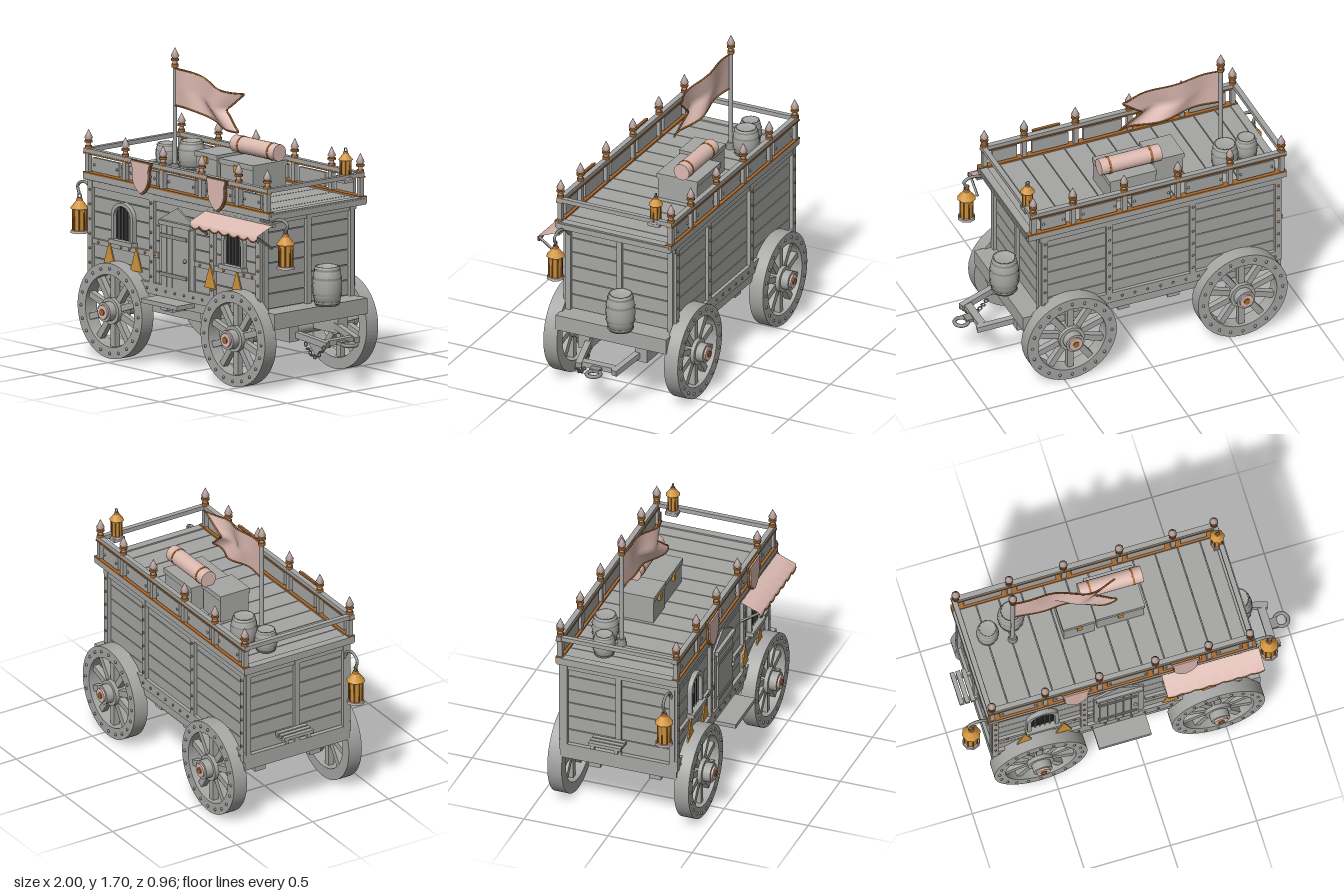
import * as THREE from 'three';
import { mergeGeometries } from 'three/addons/utils/BufferGeometryUtils.js';

const mat = (name, color, opt = {}) => Object.assign(new THREE.MeshStandardMaterial({ color, ...opt }), { name });

export function createModel() {
  const wood = mat('weathered wood', 0xa6a6a4);
  const iron = mat('grey iron', 0x8f8f8d);
  const dark = mat('window dark', 0x1e1e1e);
  const cloth = mat('pink cloth', 0xdcbab1, { side: THREE.DoubleSide });
  const gold = mat('amber', 0xd0953c);
  const bronze = mat('bronze', 0xa8682c);
  const tip = mat('pale metal', 0xb9a5a0);
  const root = new THREE.Group();
  root.name = 'wagon';
  const V = (x, y, z) => new THREE.Vector3(x, y, z);

  // Helpers
  const add = (name, geo, m, x = 0, y = 0, z = 0, parent = root) => {
    const mesh = new THREE.Mesh(geo, m);
    mesh.name = name;
    mesh.position.set(x, y, z);
    parent.add(mesh);
    return mesh;
  };
  const box = (name, m, x0, x1, y0, y1, z0, z1, parent = root) =>
    add(name, new THREE.BoxGeometry(x1 - x0, y1 - y0, z1 - z0), m, (x0 + x1) / 2, (y0 + y1) / 2, (z0 + z1) / 2, parent);
  const cyl = (name, m, r0, r1, h, x, y, z, parent = root, n = 20) =>
    add(name, new THREE.CylinderGeometry(r1, r0, h, n), m, x, y, z, parent);
  const bar = (name, m, a, b, w, h = w) => {
    const mesh = add(name, new THREE.BoxGeometry(a.distanceTo(b), h, w), m);
    mesh.position.copy(a).add(b).multiplyScalar(0.5);
    mesh.quaternion.setFromUnitVectors(V(1, 0, 0), b.clone().sub(a).normalize());
  };
  const tube = (name, m, pts, r, closed = false, tension = 0.5) =>
    add(name, new THREE.TubeGeometry(new THREE.CatmullRomCurve3(pts, closed, 'catmullrom', tension), pts.length * 4, r, 6, closed), m);
  const group = (name, x, y, z, parent = root) => {
    const g = new THREE.Group();
    g.name = name;
    g.position.set(x, y, z);
    parent.add(g);
    return g;
  };
  const rivets = (name, m, pts, r = 0.008, parent = root) => add(name, mergeGeometries(pts.map(([x, y, z]) =>
    new THREE.SphereGeometry(r, 6, 4).translate(x, y, z))), m, 0, 0, 0, parent);

  // Wheels
  const makeWheel = (x, side) => {
    const g = group('wheel', x, 0.27, 0.335 * side);
    if (side < 0) g.rotation.y = Math.PI;
    const ring = new THREE.Shape().absarc(0, 0, 0.27, 0, Math.PI * 2);
    ring.holes.push(new THREE.Path().absarc(0, 0, 0.205, 0, Math.PI * 2, true));
    add('wheelRim', new THREE.ExtrudeGeometry(ring, { depth: 0.085, bevelEnabled: false, curveSegments: 40 }), wood, 0, 0, 0, g);
    for (let i = 0; i < 10; i++) {
      const a = (i + 0.5) * Math.PI / 5;
      add('spoke', new THREE.BoxGeometry(0.17, 0.036, 0.036), wood, Math.cos(a) * 0.13, Math.sin(a) * 0.13, 0.045, g).rotation.z = a;
    }
    for (const [r, len, z, m, name] of [[0.075, 0.09, 0.04, wood, 'hub'], [0.055, 0.05, 0.105, wood, 'hubCollar'],
      [0.04, 0.012, 0.135, cloth, 'hubCap'], [0.018, 0.01, 0.142, bronze, 'hubBolt']])
      cyl(name, m, r, r, len, 0, 0, z, g).rotation.x = Math.PI / 2;
    rivets('rimBolts', iron, Array.from({ length: 20 }, (_, i) => {
      const a = i * Math.PI / 10;
      return [Math.cos(a) * 0.24, Math.sin(a) * 0.24, 0.086];
    }), 0.009, g);
  };
  for (const x of [-0.577, 0.455]) {
    makeWheel(x, 1);
    makeWheel(x, -1);
    cyl('axle', wood, 0.038, 0.038, 0.68, x, 0.27, 0).rotation.x = Math.PI / 2;
    box('bolster', wood, x - 0.04, x + 0.04, 0.29, 0.36, -0.27, 0.27);
  }

  // Undercarriage and drawbar
  for (const s of [-1, 1]) {
    box('chassisBeam', wood, -0.74, 0.7, 0.26, 0.35, s * 0.18 - 0.035, s * 0.18 + 0.035);
    bar('drawbarArm', wood, V(0.62, 0.31, s * 0.17), V(0.9, 0.26, s * 0.11), 0.035);
  }
  for (const x of [-0.2, 0.1]) box('crossBeam', wood, x - 0.035, x + 0.035, 0.31, 0.36, -0.32, 0.32);
  box('drawbarCross', wood, 0.84, 0.885, 0.25, 0.28, -0.13, 0.13);
  box('hitchTongue', iron, 0.87, 0.925, 0.25, 0.27, -0.03, 0.03);
  add('hitchRing', new THREE.TorusGeometry(0.039, 0.011, 8, 20), iron, 0.95, 0.255, -0.01).rotation.x = Math.PI / 2;
  for (let i = 0; i < 9; i++) {
    const t = i / 8;
    const link = add('chainLink', new THREE.TorusGeometry(0.012, 0.004, 5, 8), iron, 0.74 + t * 0.15, 0.245 - 0.06 * Math.sin(t * Math.PI), 0.13);
    link.rotation.set(i % 2 ? Math.PI / 2 : 0, 0, t - 0.5);
  }

  // Floor and plank walls
  box('floor', wood, -0.84, 0.72, 0.35, 0.44, -0.345, 0.345);
  box('innerWalls', iron, -0.81, 0.59, 0.44, 0.97, -0.32, 0.32);
  for (let i = 0; i < 6; i++) {
    const y = 0.445 + i * 0.087;
    box('wallPlanks', wood, -0.822, 0.602, y, y + 0.082, -0.333, 0.333);
  }
  const studs = [-0.82, -0.305, 0.2, 0.59];
  for (const s of [-1, 1]) {
    const z0 = s * 0.335, z = s * 0.353;
    for (const x of studs) box('wallPost', wood, x - 0.018, x + 0.018, 0.42, 0.97, z0 - 0.018, z0 + 0.018);
    box('sillRail', wood, -0.84, 0.62, 0.4, 0.465, z0 - 0.018, z0 + 0.018);
    box('topRail', wood, -0.84, 0.62, 0.93, 0.965, z0 - 0.016, z0 + 0.016);
    const pts = [];
    for (const x of studs) for (let j = 0; j < 6; j++) pts.push([x, 0.5 + j * 0.083, z]);
    for (let i = 0; i < 19; i++) pts.push([-0.8 + i * 0.077, 0.432, z]);
    rivets('wallRivets', bronze, pts);
  }
  box('midRail', wood, -0.82, -0.25, 0.61, 0.64, 0.33, 0.35);
  box('midRail', wood, 0.05, 0.6, 0.61, 0.64, 0.33, 0.35);
  rivets('midRivets', bronze, [-0.75, -0.56, -0.49, -0.36, -0.28, 0.1, 0.3, 0.47, 0.54].map(x => [x, 0.625, 0.351]));
  for (const x of [-0.822, 0.602]) {
    for (const z of [-0.32, 0, 0.32]) box('endPost', wood, x - 0.02, x + 0.02, 0.44, 0.97, z - 0.016, z + 0.016);
    box('endRail', wood, x - 0.015, x + 0.015, 0.925, 0.965, -0.33, 0.33);
  }

  // Arched windows with bars
  const arch = (C, w, y0, y1, top) => {
    const s = new C();
    s.moveTo(-w, y0); s.lineTo(w, y0); s.lineTo(w, y1);
    s.quadraticCurveTo(w, top - 0.01, 0, top);
    s.quadraticCurveTo(-w, top - 0.01, -w, y1);
    s.closePath();
    return s;
  };
  for (const x of [-0.545, 0.38]) {
    const frame = arch(THREE.Shape, 0.092, 0.65, 0.79, 0.88);
    frame.holes.push(arch(THREE.Path, 0.07, 0.665, 0.785, 0.86));
    add('windowFrame', new THREE.ExtrudeGeometry(frame, { depth: 0.03, bevelEnabled: false }), wood, x, 0, 0.33);
    add('windowPane', new THREE.ShapeGeometry(arch(THREE.Shape, 0.075, 0.66, 0.785, 0.865)), dark, x, 0, 0.337);
    for (const d of [-0.042, -0.014, 0.014, 0.042]) box('windowBar', iron, x + d - 0.003, x + d + 0.003, 0.665, 0.845, 0.34, 0.346);
    box('windowSill', wood, x - 0.1, x + 0.1, 0.64, 0.665, 0.33, 0.375);
  }

  // Door with pointed frame, and step
  const gable = new THREE.Shape([[-0.145, 0], [0.145, 0], [0.145, 0.39], [0, 0.47], [-0.145, 0.39]].map(p => new THREE.Vector2(...p)));
  add('doorSurround', new THREE.ExtrudeGeometry(gable, { depth: 0.012, bevelEnabled: false }), wood, -0.1, 0.445, 0.332);
  for (let i = 0; i < 5; i++) box('doorPlank', wood, -0.215 + i * 0.046, -0.172 + i * 0.046, 0.46, 0.81, 0.34, 0.358);
  for (const y of [0.52, 0.74]) box('doorHinge', iron, -0.225, 0.0, y, y + 0.022, 0.355, 0.364);
  box('doorLintel', wood, -0.235, 0.035, 0.81, 0.835, 0.335, 0.365);
  rivets('doorKnob', iron, [[-0.01, 0.63, 0.365]], 0.012);
  box('doorStep', wood, -0.255, 0.05, 0.375, 0.4, 0.3, 0.475);
  box('stepBracket', wood, -0.13, -0.07, 0.35, 0.376, 0.28, 0.44);

  // Rear shelf
  for (let i = 0; i < 3; i++) box('shelfSlat', wood, -0.935 + i * 0.033, -0.91 + i * 0.033, 0.52, 0.54, -0.145, 0.05);
  for (const z of [-0.12, 0.02]) box('shelfBracket', wood, -0.93, -0.82, 0.495, 0.52, z - 0.01, z + 0.01);

  // Amber triangular pennants
  const tri = new THREE.Shape([new THREE.Vector2(-0.048, 0), new THREE.Vector2(0.048, 0), new THREE.Vector2(0, 0.135)]);
  for (const x of [-0.65, -0.425, 0.195, 0.42])
    add('pennant', new THREE.ExtrudeGeometry(tri, { depth: 0.008, bevelEnabled: false }), gold, x, 0.51, 0.353);

  // Roof deck, railing and finials
  box('roofBase', iron, -0.85, 0.69, 0.965, 0.99, -0.35, 0.35);
  for (let i = 0; i < 12; i++) box('roofPlank', wood, -0.855 + i * 0.13, -0.73 + i * 0.13, 0.985, 1.0, -0.35, 0.35);
  const finial = (x, y, z) => {
    const g = group('finial', x, y, z);
    cyl('finialCollar', bronze, 0.02, 0.02, 0.02, 0, 0.01, 0, g, 10);
    cyl('finialNeck', tip, 0.013, 0.013, 0.02, 0, 0.03, 0, g, 10);
    cyl('finialRing', bronze, 0.023, 0.023, 0.012, 0, 0.044, 0, g, 10);
    add('finialTip', new THREE.LatheGeometry([[0.012, 0.05], [0.024, 0.064], [0.012, 0.09], [0, 0.115]].map(p => new THREE.Vector2(...p)), 10), tip, 0, 0, 0, g);
  };
  const posts = [-0.84, -0.53, -0.215, 0.11, 0.42, 0.66];
  for (const s of [-1, 1]) {
    const z = s * 0.345;
    box('railTop', wood, -0.865, 0.68, 1.12, 1.145, z - 0.015, z + 0.015);
    box('railTrim', bronze, -0.865, 0.68, 1.114, 1.122, z - 0.019, z + 0.019);
    box('deckEdge', wood, -0.865, 0.695, 0.97, 1.005, z - 0.018, z + 0.018);
    box('deckTrim', bronze, -0.865, 0.695, 1.003, 1.012, z - 0.02, z + 0.02);
    posts.forEach((x, i) => {
      box('railPost', wood, x - 0.014, x + 0.014, 1.0, 1.14, z - 0.014, z + 0.014);
      finial(x, 1.14, z);
      if (i === 5) return;
      const x1 = posts[i + 1];
      box('railPanel', wood, x + 0.045, x1 - 0.045, 1.02, 1.1, z - 0.009, z + 0.009);
      rivets('panelRivets', iron, [x + 0.06, x1 - 0.06].map(px => [px, 1.06, z + s * 0.01]));
    });
  }
  for (const x of [-0.85, 0.665]) {
    box('endRailTop', wood, x - 0.014, x + 0.014, 1.12, 1.145, -0.345, 0.345);
    box('endDeckEdge', wood, x - 0.015, x + 0.03, 0.965, 1.008, -0.355, 0.355);
  }

  // Shield banners
  const shield = new THREE.Shape();
  shield.moveTo(-0.085, 0.19); shield.lineTo(0.085, 0.19); shield.lineTo(0.07, 0.14);
  shield.quadraticCurveTo(0.085, 0.04, 0, 0);
  shield.quadraticCurveTo(-0.085, 0.04, -0.07, 0.14);
  for (const x of [-0.36, 0.275]) {
    add('shieldTrim', new THREE.ExtrudeGeometry(shield, { depth: 0.012, bevelEnabled: false }), bronze, x, 0.957, 0.368);
    add('shieldBanner', new THREE.ExtrudeGeometry(shield, { depth: 0.008, bevelEnabled: false }), cloth, x, 0.966, 0.381).scale.set(0.93, 0.93, 1);
  }

  // Barrels
  const barrel = (x, y, z, r, h) => {
    const g = group('barrel', x, y, z);
    const p = [[0, 0], [0.8, 0], [0.94, 0.25], [1, 0.5], [0.94, 0.75], [0.8, 1], [0.7, 1], [0.7, 0.94], [0, 0.94]];
    add('barrelStaves', new THREE.LatheGeometry(p.map(([a, b]) => new THREE.Vector2(a * r, b * h)), 16), wood, 0, 0, 0, g).material = wood;
    for (const [t, k] of [[0.08, 0.86], [0.3, 0.97], [0.7, 0.97], [0.92, 0.86]])
      cyl('barrelHoop', iron, k * r * 1.02, k * r * 1.02, h * 0.07, 0, t * h, 0, g, 16).geometry = new THREE.CylinderGeometry(k * r * 1.03, k * r * 1.03, h * 0.06, 16, 1, true);
  };
  barrel(0.71, 0.44, -0.055, 0.084, 0.22);
  barrel(-0.72, 1, -0.13, 0.064, 0.13);
  barrel(-0.57, 1, -0.18, 0.077, 0.16);

  // Crates and bedroll
  for (const [x0, x1, y, z0, z1] of [[-0.325, -0.135, 1.165, -0.18, 0.015], [-0.13, 0.155, 1.15, -0.25, 0.005]]) {
    box('crate', wood, x0 + 0.006, x1 - 0.006, 1, y - 0.03, z0 + 0.006, z1 - 0.006);
    box('crateLid', wood, x0, x1, y - 0.03, y, z0, z1);
    box('crateLatch', gold, (x0 + x1) / 2 - 0.015, (x0 + x1) / 2 + 0.015, y - 0.06, y - 0.02, z1 - 0.005, z1 + 0.008);
  }
  cyl('bedroll', cloth, 0.048, 0.048, 0.365, 0.003, 1.205, -0.165).rotation.z = Math.PI / 2;
  for (const x of [-0.12, 0.13]) cyl('bedrollStrap', bronze, 0.05, 0.05, 0.012, x, 1.205, -0.165).rotation.z = Math.PI / 2;

  // Lanterns
  const lantern = (x, y, z, k) => {
    const g = group('lantern', x, y, z);
    g.scale.setScalar(k);
    cyl('lanternBase', tip, 0.052, 0.048, 0.014, 0, 0.007, 0, g, 8);
    cyl('lanternGlass', gold, 0.036, 0.041, 0.126, 0, 0.077, 0, g, 8);
    for (let i = 0; i < 8; i++) {
      const a = i * Math.PI / 4;
      box('lanternRib', bronze, Math.sin(a) * 0.039 - 0.003, Math.sin(a) * 0.039 + 0.003, 0.014, 0.14, Math.cos(a) * 0.039 - 0.003, Math.cos(a) * 0.039 + 0.003, g);
    }
    cyl('lanternRoof', gold, 0.054, 0.018, 0.045, 0, 0.16, 0, g, 8);
    cyl('lanternCap', bronze, 0.02, 0.014, 0.018, 0, 0.19, 0, g, 8);
    add('lanternRing', new THREE.TorusGeometry(0.014, 0.004, 6, 12), iron, 0, 0.21, 0, g);
  };
  lantern(-0.95, 0.645, 0.315, 1);
  lantern(0.78, 0.705, 0.315, 1);
  lantern(0.65, 1.12, -0.245, 0.78);
  box('lanternStand', wood, 0.62, 0.68, 1.1, 1.122, -0.28, -0.21);
  tube('lanternArm', iron, [V(-0.83, 0.86, 0.315), V(-0.86, 0.92, 0.315), V(-0.92, 0.94, 0.315), V(-0.965, 0.91, 0.315), V(-0.95, 0.86, 0.315)], 0.009);
  tube('lanternArm', iron, [V(0.61, 0.9, 0.315), V(0.66, 0.95, 0.315), V(0.74, 0.975, 0.315), V(0.795, 0.955, 0.315), V(0.78, 0.915, 0.315)], 0.009);

  // Awning with scalloped edge
  const surface = (f, nu, nv) => {
    const geo = new THREE.PlaneGeometry(1, 1, nu, nv), p = geo.attributes.position;
    for (let i = 0; i < p.count; i++) p.setXYZ(i, ...f(p.getX(i) + 0.5, p.getY(i) + 0.5).toArray());
    geo.computeVertexNormals();
    return geo;
  };
  const awningAt = (u, v) => {
    const wave = Math.abs(Math.sin(u * Math.PI * 7)), t = Math.min(1, (1 - v) * 1.5);
    return V(0.145 + u * 0.565, 0.945 - 0.05 * t + (v < 0.3 ? -0.02 - 0.016 * wave : 0), 0.34 + 0.125 * t);
  };
  add('awning', surface(awningAt, 56, 3), cloth);
  tube('awningHem', bronze, Array.from({ length: 57 }, (_, i) => awningAt(i / 56, 0)), 0.004);
  for (const x of [0.155, 0.7]) bar('awningBrace', iron, V(x, 0.89, 0.46), V(x, 0.81, 0.345), 0.012);
  box('awningRail', wood, 0.145, 0.71, 0.93, 0.95, 0.33, 0.352);

  // Flagpole and swallowtail flag
  cyl('flagpole', wood, 0.013, 0.012, 0.6, -0.59, 1.3, -0.075, root, 12);
  cyl('flagpoleFoot', iron, 0.028, 0.022, 0.04, -0.59, 1.02, -0.075, root, 12);
  finial(-0.59, 1.585, -0.075);
  const flagAt = (u, v) => V(
    -0.585 + u * (0.46 + 0.125 * Math.abs(2 * v - 1)),
    1.475 + (v - 0.5) * 0.21 - 0.055 * u + 0.012 * Math.sin(u * 6),
    -0.07 + 0.032 * u + 0.034 * u * Math.sin(u * 9 + v * 1.5));
  add('flag', surface(flagAt, 28, 10), cloth);
  const edge = [];
  for (let i = 0; i <= 14; i++) edge.push(flagAt(i / 14, 1));
  for (let i = 1; i < 8; i++) edge.push(flagAt(1, 1 - i / 8));
  for (let i = 14; i >= 0; i--) edge.push(flagAt(i / 14, 0));
  tube('flagHem', bronze, edge, 0.005);

  return root;
}
